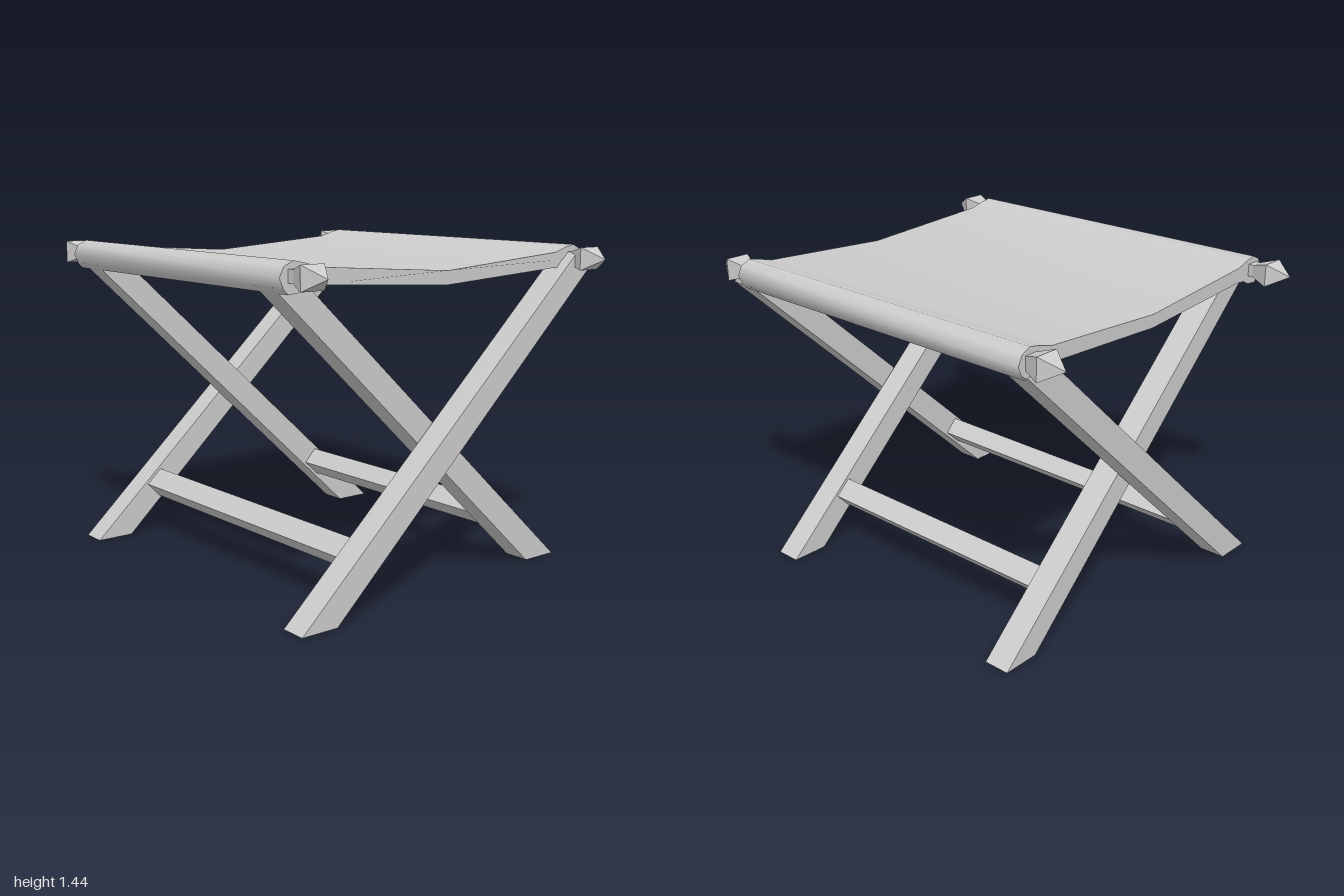
import * as THREE from 'three';

const solid = new THREE.MeshStandardMaterial({ color: 0xcccccc });
const faceted = new THREE.MeshStandardMaterial({ color: 0xcccccc, flatShading: true });
const openFaceted = new THREE.MeshStandardMaterial({ color: 0xcccccc, flatShading: true, side: THREE.DoubleSide });
const cloth = new THREE.MeshStandardMaterial({ color: 0xcccccc, side: THREE.DoubleSide });

function addMesh(parent, name, geometry, material) {
  const mesh = new THREE.Mesh(geometry, material);
  mesh.name = name;
  parent.add(mesh);
  return mesh;
}

// Slanted square tube, open at the foot and the top; side = 1 rises to +x
function legGeometry(side) {
  const g = new THREE.BoxGeometry(1, 1, 0.12);
  const faces = Array.from(g.index.array);
  faces.splice(12, 12); // drop the top and bottom faces
  g.setIndex(faces);
  g.clearGroups();
  const foot = [[-0.785, 0], [-0.61, 0]];
  const top = [[0.735, 1.41], [0.82, 1.34]];
  const p = g.attributes.position;
  for (let i = 0; i < p.count; i++) {
    const corner = p.getX(i) * side > 0 ? 1 : 0;
    const [x, y] = (p.getY(i) < 0 ? foot : top)[corner];
    p.setXY(i, x * side, y);
  }
  return g;
}

// A pair of parallel legs with a stretcher between them
function legFrame(name, side, z) {
  const group = new THREE.Group();
  group.name = name;
  for (const end of [1, -1]) {
    addMesh(group, end > 0 ? 'frontLeg' : 'backLeg', legGeometry(side), openFaceted).position.z = end * z;
  }
  const bar = addMesh(group, 'stretcher', new THREE.BoxGeometry(0.1, 0.09, 2 * z - 0.12), solid);
  bar.position.set(-0.442 * side, 0.238, 0);
  bar.rotation.z = side * Math.atan(0.936);
  return group;
}

// The hems run slightly askew
function hemZ(x, end) {
  const [left, middle, right] = end > 0 ? [0.8, 0.825, 0.813] : [-0.805, -0.823, -0.835];
  return THREE.MathUtils.lerp(middle, x < 0 ? left : right, Math.abs(x) / 0.835);
}

// Sagging fabric shell that wraps over both sides, with a skirt at front and back
function seat() {
  const group = new THREE.Group();
  group.name = 'fabricSeat';
  const mirror = (pts) => pts.map(([x, y]) => [-x, y]).reverse();
  const over = [[0.65, 1.412], [0.72, 1.432], [0.77, 1.442], [0.815, 1.422],
    [0.835, 1.38], [0.815, 1.335], [0.795, 1.315]];
  const under = [[0.735, 1.322], [0.7, 1.34], [0.65, 1.345]];
  const profile = [...mirror(over), [0, 1.367], ...over];

  const sheet = new THREE.PlaneGeometry(1, 1, profile.length - 1, 1);
  const p = sheet.attributes.position;
  for (let i = 0; i < p.count; i++) {
    const [x, y] = profile[i % profile.length];
    p.setXYZ(i, x, y, hemZ(x, i < profile.length ? -1 : 1));
  }
  sheet.computeVertexNormals();
  addMesh(group, 'sheet', sheet, cloth);

  const outline = [...profile, ...under, [0, 1.309], ...mirror(under)];
  const shape = new THREE.Shape(outline.map(([x, y]) => new THREE.Vector2(x, y)));
  for (const end of [1, -1]) {
    const skirt = new THREE.ShapeGeometry(shape);
    const q = skirt.attributes.position;
    for (let i = 0; i < q.count; i++) q.setZ(i, hemZ(q.getX(i), end));
    addMesh(group, end > 0 ? 'frontSkirt' : 'backSkirt', skirt, cloth);
  }
  return group;
}

// Four-sided pointed finial, slightly wider than tall
function finialGeometry() {
  const profile = [[0.03, 0.8], [0.03, 0.83], [0.056, 0.908], [0, 1]]
    .map(([half, y]) => new THREE.Vector2(half * Math.SQRT2, y));
  return new THREE.LatheGeometry(profile, 4, Math.PI / 4).scale(1, 1, 0.89);
}

export function createModel() {
  const model = new THREE.Group();
  model.name = 'foldingStool';
  model.add(legFrame('outerLegFrame', 1, 0.806), legFrame('innerLegFrame', -1, 0.678), seat());
  for (const side of [1, -1]) {
    for (const end of [1, -1]) {
      const name = (end > 0 ? 'front' : 'back') + (side > 0 ? 'Left' : 'Right') + 'Finial';
      const finial = addMesh(model, name, finialGeometry(), faceted);
      finial.position.set(0.765 * side, 1.385, 0);
      finial.rotation.x = end * Math.PI / 2;
    }
  }
  return model;
}
